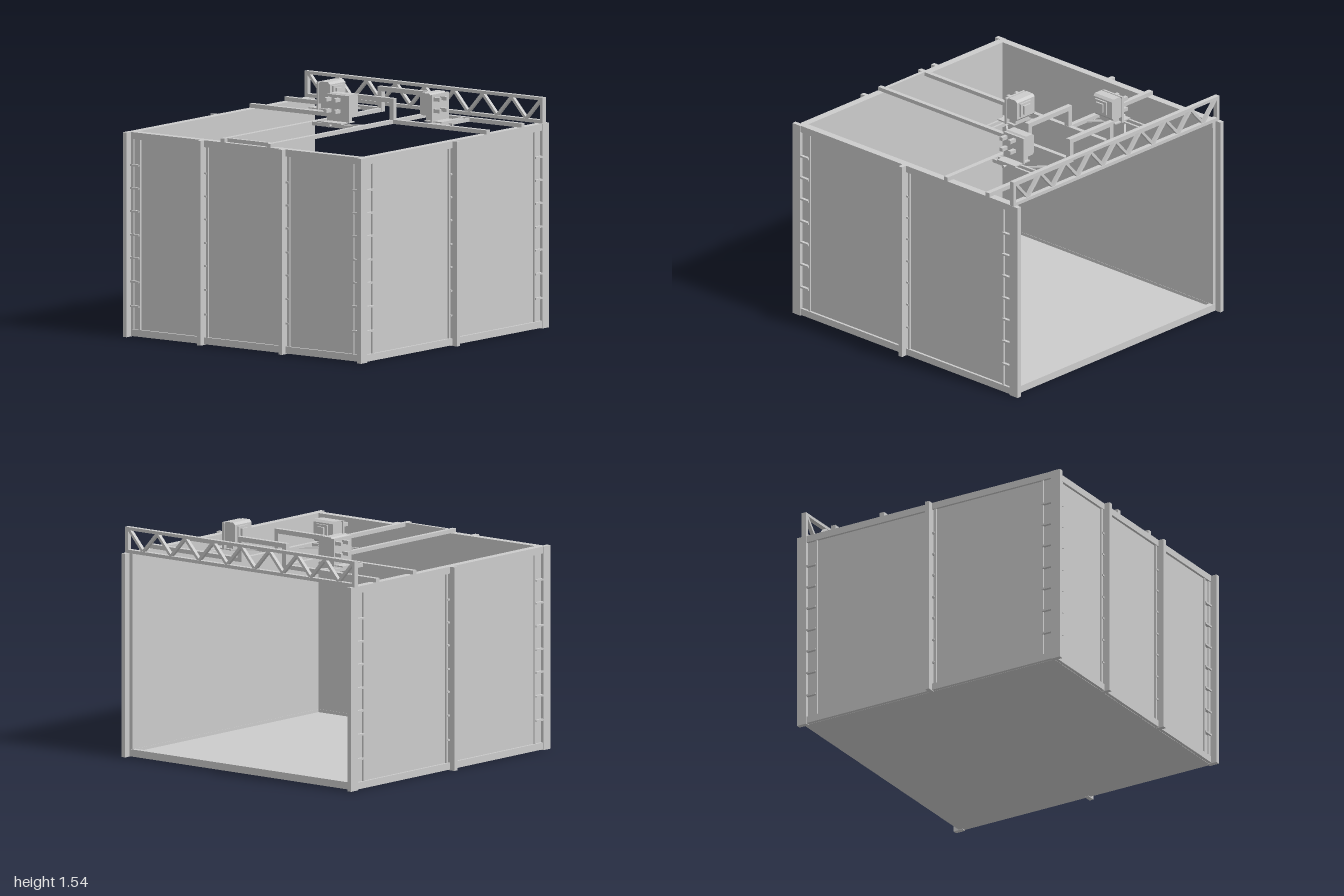
import * as THREE from 'three';

const material = new THREE.MeshStandardMaterial({ color: 0xcccccc, flatShading: true });

function add(parent, name, geometry) {
  const mesh = new THREE.Mesh(geometry, material);
  mesh.name = name;
  parent.add(mesh);
  return mesh;
}

// Box given by its extents on each axis
function box(parent, name, [x0, x1], [y0, y1], [z0, z1]) {
  const mesh = add(parent, name, new THREE.BoxGeometry(x1 - x0, y1 - y0, z1 - z0));
  mesh.position.set((x0 + x1) / 2, (y0 + y1) / 2, (z0 + z1) / 2);
  return mesh;
}

// Square bar between two points
function bar(parent, name, a, b, w, h = w) {
  const p = new THREE.Vector3(...a), q = new THREE.Vector3(...b);
  const mesh = add(parent, name, new THREE.BoxGeometry(w, h, p.distanceTo(q)));
  mesh.position.copy(p).lerp(q, 0.5);
  mesh.lookAt(q);
  return mesh;
}

const rungHeights = [0.2, 0.36, 0.515, 0.665, 0.82, 0.97, 1.12];

// Framed wall: x runs along it, +z points outwards
function wall(name, half, posts, stile) {
  const g = new THREE.Group();
  g.name = name;
  box(g, 'panel', [-half, half], [0.02, 1.31], [0.912, 0.945]);
  box(g, 'topRail', [-half, half], [1.29, 1.335], [0.91, 0.962]);
  box(g, 'bottomRail', [-half, half], [0.005, 0.05], [0.91, 0.962]);
  for (const s of [-1, 1]) {
    box(g, 'cornerStile', [s * stile - 0.007, s * stile + 0.007], [0.05, 1.29], [0.94, 0.957]);
    for (const y of rungHeights) {
      const ends = [s * stile, s * 0.935].sort((a, b) => a - b);
      box(g, 'cornerRung', ends, [y - 0.006, y + 0.006], [0.94, 0.966]);
    }
  }
  for (const p of posts) {
    box(g, 'post', [p - 0.015, p + 0.015], [0, 1.335], [0.94, 1]);
    for (const s of [-1, 1]) {
      const c = p + s * 0.035;
      box(g, 'postStile', [c - 0.008, c + 0.008], [0.05, 1.29], [0.94, 0.957]);
    }
    for (const y of rungHeights)
      box(g, 'postClip', [p - 0.035, p + 0.035], [y - 0.006, y + 0.006], [0.94, 0.962]);
  }
  return g;
}

// Sensor head on two carrier bars, facing local +z; mid shifts the bars
function sensorUnit(name, barHalf, mid) {
  const g = new THREE.Group();
  g.name = name;
  for (const z of [-0.022, 0.027])
    box(g, 'carrierBar', [mid - barHalf, mid + barHalf], [1.337, 1.36], [z - 0.008, z + 0.008]);
  for (const s of [-1, 1])
    bar(g, 'brace', [mid + s * barHalf, 1.345, 0.165], [mid + s * (barHalf - 0.12), 1.345, 0.035], 0.012);
  box(g, 'basePlate', [-0.08, 0.08], [1.36, 1.368], [-0.03, 0.11]);
  box(g, 'neck', [-0.06, 0.06], [1.36, 1.41], [0.05, 0.11]);
  box(g, 'backPlate', [-0.088, 0.088], [1.36, 1.54], [0.04, 0.055]);

  // Housing with chamfered top and bottom edges
  const profile = new THREE.Shape([
    [0.055, 1.4], [0.13, 1.4], [0.145, 1.415], [0.145, 1.53], [0.13, 1.545], [0.07, 1.545], [0.055, 1.53],
  ].map(([z, y]) => new THREE.Vector2(-z, y)));
  const housing = add(g, 'housing', new THREE.ExtrudeGeometry(profile, { depth: 0.165, bevelEnabled: false }));
  housing.rotation.y = Math.PI / 2;
  housing.position.x = -0.0825;

  box(g, 'lensFrame', [-0.06, 0.04], [1.43, 1.52], [0.145, 0.157]);
  box(g, 'lens', [-0.04, 0.02], [1.445, 1.505], [0.157, 0.17]);
  for (const x of [-0.008, 0.065])
    for (const y of [1.435, 1.51])
      box(g, 'connector', [x - 0.012, x + 0.012], [y - 0.012, y + 0.012], [-0.01, 0.04]);
  const pin = add(g, 'pin', new THREE.CylinderGeometry(0.005, 0.011, 0.03, 8));
  pin.rotation.x = Math.PI / 2;
  pin.position.set(0, 1.35, -0.045);
  return g;
}

export function createModel() {
  const model = new THREE.Group();
  model.name = 'booth';

  // Floor and open-side sill
  box(model, 'floor', [-0.94, 0.955], [0.003, 0.03], [-0.94, 0.94]);
  box(model, 'sill', [0.925, 0.96], [0.003, 0.05], [-0.93, 0.93]);

  // Three walls; the +x side stays open
  const front = wall('frontWall', 0.955, [-0.01], 0.86);
  const back = wall('backWall', 0.955, [0.01], 0.86);
  back.rotation.y = Math.PI;
  const side = wall('sideWall', 0.93, [0.31, -0.35], 0.865);
  side.rotation.y = -Math.PI / 2;
  model.add(front, back, side);

  // Corner posts
  for (const s of [-1, 1])
    for (const t of [-1, 1])
      box(model, 'cornerPost', s < 0 ? [-1, -0.93] : [0.93, 1], [0, 1.335],
        t < 0 ? [-0.966, -0.935] : [0.935, 0.966]);

  // Truss above the open side
  const truss = new THREE.Group();
  truss.name = 'truss';
  model.add(truss);
  const tx = [0.932, 0.965];
  box(truss, 'topChord', tx, [1.485, 1.505], [-0.965, 0.965]);
  box(truss, 'bottomChord', tx, [1.335, 1.357], [-0.965, 0.965]);
  for (const s of [-1, 1])
    box(truss, 'endPost', tx, [1.335, 1.505], s < 0 ? [-0.965, -0.943] : [0.943, 0.965]);
  const step = 0.94 / 8;
  for (let i = 0; i < 16; i++) {
    const y0 = i % 2 ? 1.355 : 1.487, y1 = i % 2 ? 1.487 : 1.355;
    bar(truss, 'diagonal', [0.948, y0, -0.94 + i * step], [0.948, y1, -0.94 + (i + 1) * step], 0.026, 0.018);
  }

  // Roof beams across the booth, stepped up over the middle
  const frame = new THREE.Group();
  frame.name = 'roofFrame';
  model.add(frame);
  for (const x of [0.358, 0.728]) {
    const bx = [x - 0.017, x + 0.017];
    for (const s of [-1, 1]) {
      box(frame, 'crossBeam', bx, [1.335, 1.362], s < 0 ? [-0.962, -0.17] : [0.17, 0.962]);
      box(frame, 'riser', bx, [1.335, 1.5], s < 0 ? [-0.205, -0.172] : [0.172, 0.205]);
    }
    box(frame, 'raisedBeam', bx, [1.47, 1.5], [-0.205, 0.205]);
  }
  for (const s of [-1, 1])
    box(frame, 'longBeam', [-0.962, 0.745], [1.335, 1.36], s < 0 ? [-0.203, -0.172] : [0.172, 0.203]);
  box(frame, 'endTie', [-0.93, -0.905], [1.335, 1.36], [-0.172, 0.172]);

  // Three sensor heads aimed at the centre of the open area
  const middle = sensorUnit('middleSensor', 0.172, -0.015);
  middle.rotation.y = Math.PI / 2;
  middle.position.z = -0.015;
  const rear = sensorUnit('rearSensor', 0.168, 0.048);
  rear.position.set(0.495, 0, -0.51);
  const fore = sensorUnit('frontSensor', 0.168, -0.048);
  fore.rotation.y = Math.PI;
  fore.position.set(0.495, 0, 0.51);
  model.add(middle, rear, fore);

  return model;
}
